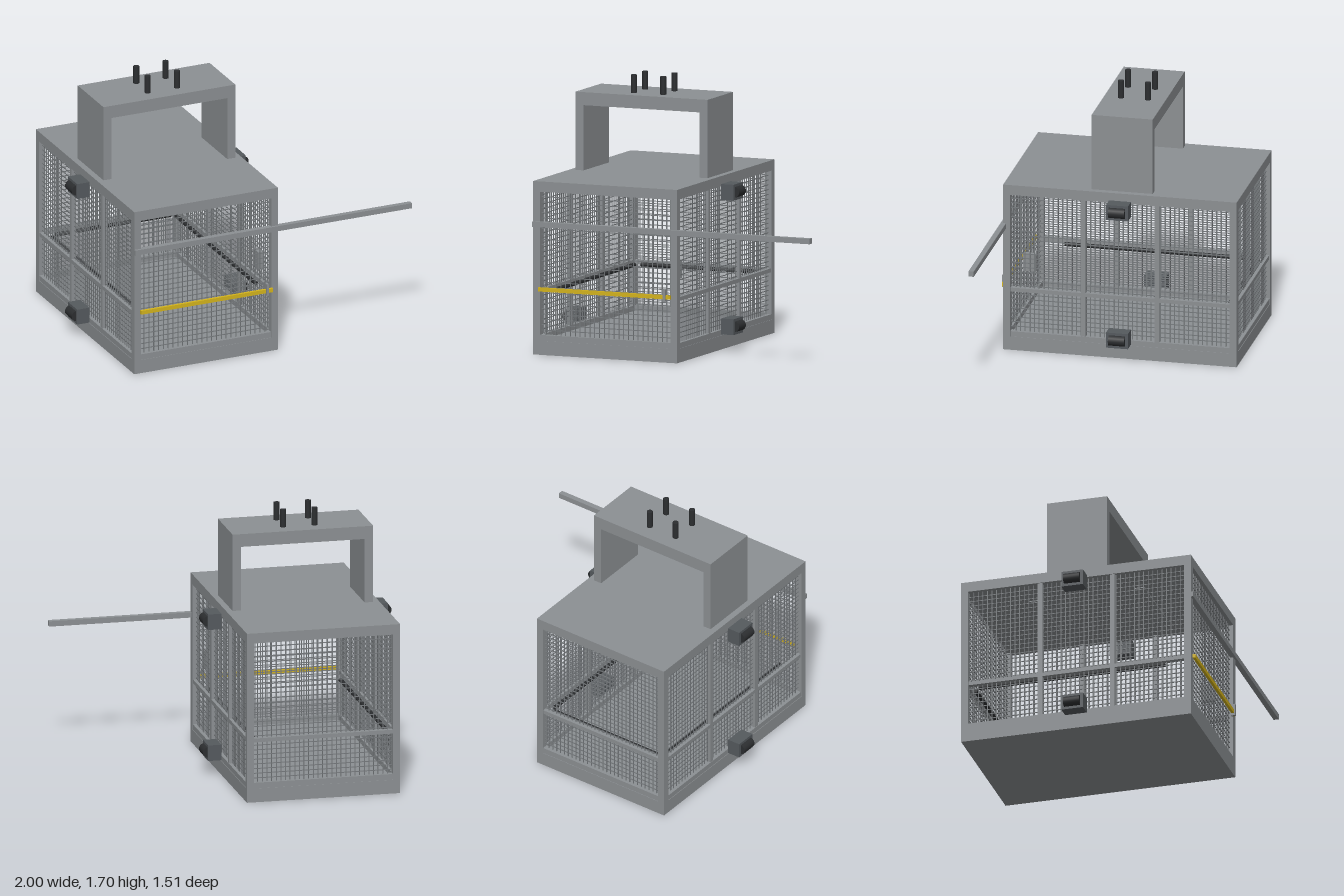
import * as THREE from 'three';
import { mergeGeometries } from 'three/addons/utils/BufferGeometryUtils.js';

const X0 = -0.89, X1 = 0.09, Z0 = -0.755, Z1 = 0.735; // cage footprint
const XC = (X0 + X1) / 2, ZC = (Z0 + Z1) / 2;
const BASE = 0.088, CEIL = 1.025, ROOF = 1.09, POST = 0.045;

function material(name, color) {
  const m = new THREE.MeshStandardMaterial({ color });
  m.name = name;
  return m;
}

export function createModel() {
  const model = new THREE.Group();
  model.name = 'liftCage';
  const steel = material('steelGrey', 0x8c9093);
  const wire = material('wireGrey', 0x75797c);
  const dark = material('darkGrey', 0x555a5e);
  const black = material('nearBlack', 0x2c2e30);
  const yellow = material('safetyYellow', 0xd4b41c);

  const add = (name, geo, mat, parent = model) => {
    const mesh = new THREE.Mesh(geo, mat);
    mesh.name = name;
    parent.add(mesh);
    return mesh;
  };
  // box given by its minimum and maximum along each axis
  const boxGeo = (x0, x1, y0, y1, z0, z1) =>
    new THREE.BoxGeometry(x1 - x0, y1 - y0, z1 - z0)
      .translate((x0 + x1) / 2, (y0 + y1) / 2, (z0 + z1) / 2);
  const box = (name, mat, ...b) => add(name, boxGeo(...b), mat);

  // floor and roof slabs
  box('floor', steel, X0, X1, 0, BASE, Z0, Z1);
  box('roof', steel, X0, X1, CEIL, ROOF, Z0, Z1);

  // corner posts
  for (const x of [X0, X1 - POST])
    for (const z of [Z0, Z1 - POST])
      box('cornerPost', steel, x, x + POST, BASE, CEIL, z, z + POST);

  // side walls: middle posts, middle rail, kick rail, inner handrail
  for (const s of [-1, 1]) {
    const at = (d0, d1) => {
      const a = XC + s * d0, b = XC + s * d1;
      return [Math.min(a, b), Math.max(a, b)];
    };
    for (const z of [0.225, -0.245])
      box('sidePost', steel, ...at(0.45, 0.485), BASE, CEIL, z - 0.015, z + 0.015);
    box('sideRail', steel, ...at(0.45, 0.485), 0.385, 0.41, Z0 + POST, Z1 - POST);
    box('sideKickRail', steel, ...at(0.45, 0.487), BASE, 0.122, Z0 + POST, Z1 - POST);
    const rail = add('sideHandrail', new THREE.CylinderGeometry(0.013, 0.013, 1.21, 12), black);
    rail.rotation.x = Math.PI / 2;
    rail.position.set(XC + s * 0.425, 0.387, -0.055);
  }

  // back and front wall rails
  box('backRail', steel, X0 + POST, X1 - POST, 0.385, 0.41, Z0 + 0.005, Z0 + 0.04);
  box('backKickRail', steel, X0 + POST, X1 - POST, BASE, 0.125, Z0 + 0.003, Z0 + 0.04);
  box('frontKickRail', steel, X0 + POST, X1 - POST, BASE, 0.125, Z1 - 0.04, Z1 - 0.003);
  const backHandrail = add('backHandrail', new THREE.CylinderGeometry(0.013, 0.013, 0.79, 12), black);
  backHandrail.rotation.z = Math.PI / 2;
  backHandrail.position.set(-0.395, 0.387, Z0 + 0.065);

  // wire mesh panel centred on the origin in its own XY plane
  const wirePanel = (name, width, step) => {
    const y0 = 0.12, y1 = CEIL, t = 0.0025, parts = [];
    const nx = Math.round(width / step), ny = Math.round((y1 - y0) / step);
    for (let i = 1; i < nx; i++) {
      const x = -width / 2 + (i * width) / nx;
      parts.push(boxGeo(x - t, x + t, y0, y1, -t, t));
    }
    for (let j = 1; j < ny; j++) {
      const y = y0 + (j * (y1 - y0)) / ny;
      parts.push(boxGeo(-width / 2, width / 2, y - t, y + t, -t, t));
    }
    return add(name, mergeGeometries(parts), wire);
  };
  const endWidth = X1 - X0 - 2 * POST, sideWidth = Z1 - Z0 - 2 * POST;
  wirePanel('frontMesh', endWidth, 0.033).position.set(XC, 0, Z1 - 0.025);
  wirePanel('backMesh', endWidth, 0.03).position.set(XC, 0, Z0 + 0.025);
  for (const s of [-1, 1]) {
    const side = wirePanel('sideMesh', sideWidth, 0.03);
    side.rotation.y = Math.PI / 2;
    side.position.set(XC + s * 0.465, 0, ZC);
  }

  // lifting frame on the roof
  const frame = new THREE.Shape([
    [-0.85, ROOF], [-0.795, ROOF], [-0.795, 1.5], [-0.005, 1.5], [-0.005, ROOF],
    [0.05, ROOF], [0.05, 1.582], [-0.85, 1.582],
  ].map(([x, y]) => new THREE.Vector2(x, y)));
  add('liftingFrame', new THREE.ExtrudeGeometry(frame, { depth: 0.39, bevelEnabled: false }), steel)
    .position.z = -0.21;
  for (const x of [-0.5, -0.3])
    for (const z of [-0.1, 0.072])
      add('ropePin', new THREE.CylinderGeometry(0.019, 0.019, 0.115, 16), black)
        .position.set(x, 1.638, z);

  // guide rollers on both sides, top and bottom
  for (const s of [-1, 1])
    for (const y of [0.145, 0.99]) {
      const guide = new THREE.Group();
      guide.name = 'guideRoller';
      guide.position.set(XC + s * 0.49, y, -0.01);
      model.add(guide);
      add('rollerBracket', new THREE.BoxGeometry(0.085, 0.1, 0.14), dark, guide).position.x = s * 0.0425;
      const wheel = add('roller', new THREE.CylinderGeometry(0.034, 0.034, 0.104, 20), black, guide);
      wheel.rotation.x = Math.PI / 2;
      wheel.position.x = s * 0.08;
    }

  // sliding door track
  box('doorTrack', steel, X0, 1.0, 0.803, 0.837, 0.716, 0.75);

  // yellow safety bar and its latch
  box('safetyBar', yellow, -0.85, 0.05, 0.4, 0.425, 0.735, 0.752);
  box('barLatch', steel, 0.003, 0.018, 0.385, 0.463, 0.732, 0.76);

  // control box inside the side wall
  box('controlBox', steel, 0.008, 0.04, 0.51, 0.625, 0.54, 0.62);

  // ceiling lamps
  for (const z of [0.33, -0.35])
    box('ceilingLamp', steel, XC - 0.25, XC + 0.25, CEIL - 0.006, CEIL, z - 0.035, z + 0.035);

  return model;
}
